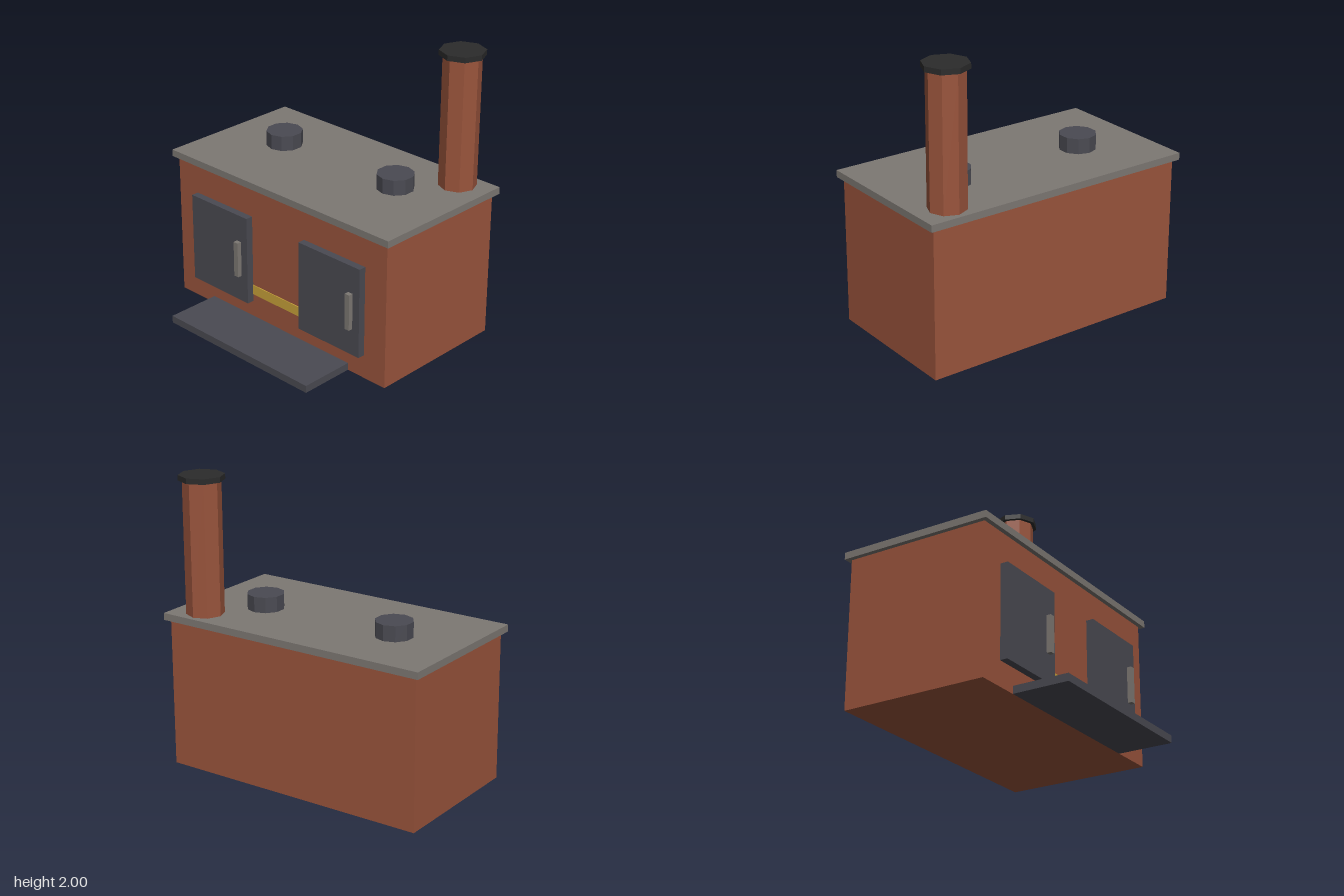
import * as THREE from 'three';

const material = (name, color) => {
  const m = new THREE.MeshStandardMaterial({ color, flatShading: true });
  m.name = name;
  return m;
};

export function createModel() {
  const brick = material('brick', 0x9a543c);
  const stone = material('stone', 0x7d7873);
  const iron = material('iron', 0x4a4a52);
  const brass = material('brass', 0xc9a23a);
  const soot = material('soot', 0x2b2b2b);

  const model = new THREE.Group();
  model.name = 'stove';

  const add = (name, geometry, mat, x, y, z) => {
    const mesh = new THREE.Mesh(geometry, mat);
    mesh.name = name;
    mesh.position.set(x, y, z);
    model.add(mesh);
  };
  // Box given by its minimum and maximum on each axis
  const box = (name, mat, [x0, x1], [y0, y1], [z0, z1]) =>
    add(name, new THREE.BoxGeometry(x1 - x0, y1 - y0, z1 - z0), mat,
      (x0 + x1) / 2, (y0 + y1) / 2, (z0 + z1) / 2);
  // Upright prism standing between two heights
  const prism = (name, mat, radius, sides, x, z, y0, y1) =>
    add(name, new THREE.CylinderGeometry(radius, radius, y1 - y0, sides), mat,
      x, (y0 + y1) / 2, z);

  // Body, worktop and hearth step
  const front = 0.331;
  box('body', brick, [-0.954, 0.954], [0, 1.02], [-0.686, front]);
  box('worktop', stone, [-0.987, 0.987], [1.02, 1.068], [-0.718, 0.363]);
  box('hearthStep', iron, [-0.637, 0.637], [0, 0.051], [front, 0.718]);

  // Brass strip between the doors
  box('brassStrip', brass, [-0.24, 0.24], [0.222, 0.292], [front, front + 0.006]);

  // Doors with handles, and the burners above them
  for (const [side, x] of [['right', -0.508], ['left', 0.508]]) {
    box(side + 'Door', iron, [x - 0.267, x + 0.267], [0.168, 0.803], [front, 0.383]);
    const hx = x + 0.191;
    box(side + 'Handle', stone, [hx - 0.019, hx + 0.019], [0.358, 0.612], [0.383, 0.415]);
    prism(side + 'Burner', iron, 0.126, 10, x, -0.241, 1.068, 1.173);
  }

  // Chimney and its cap
  prism('chimney', brick, 0.127, 8, 0.764, -0.559, 1.068, 1.965);
  prism('chimneyCap', soot, 0.152, 8, 0.764, -0.559, 1.964, 2);

  return model;
}
